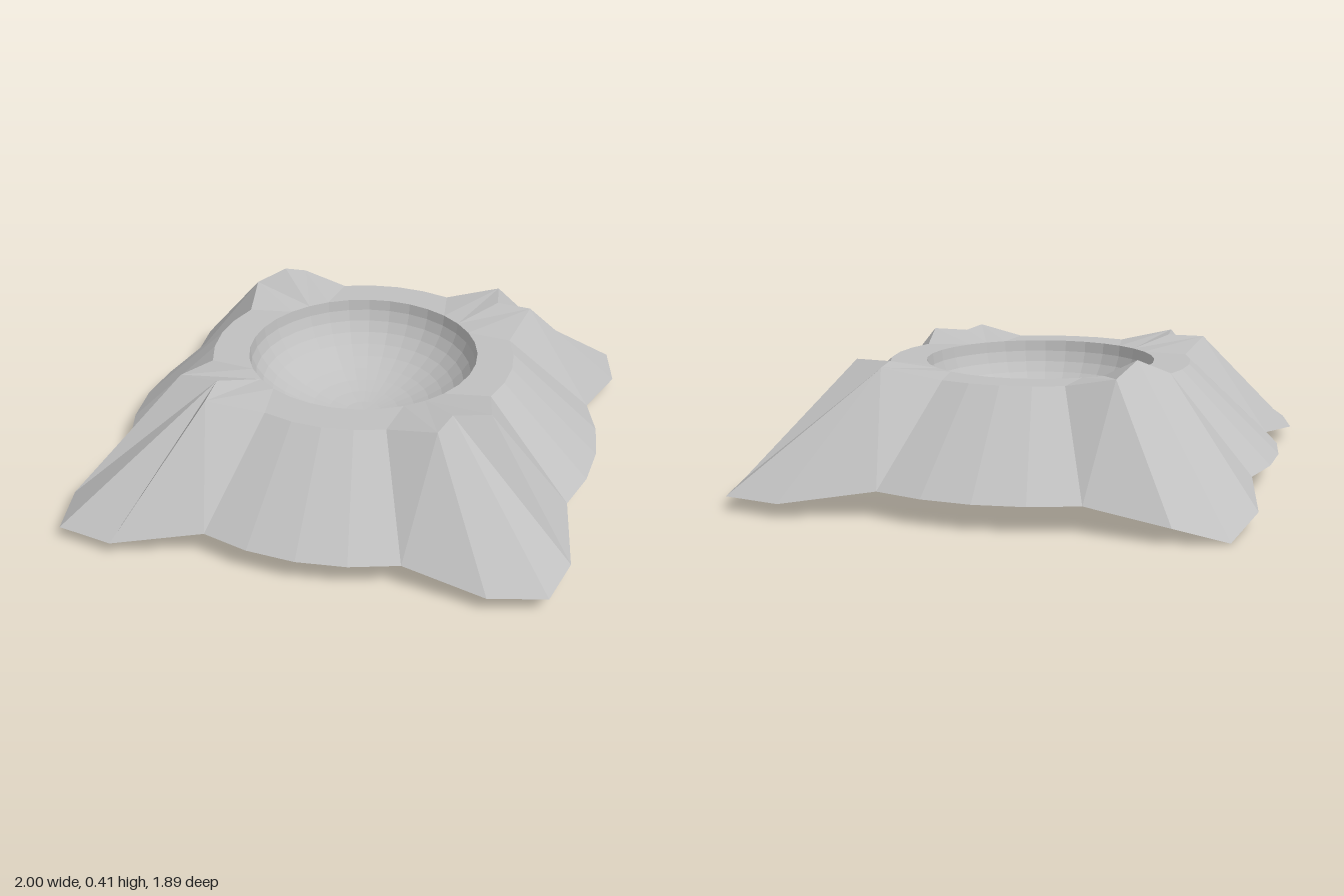
import * as THREE from 'three';

const N = 32, CZ = -0.02;

// point at a clockwise angle from the back, seen from above
const polar = (k, r, y) => {
  const a = (k / N) * Math.PI * 2;
  return new THREE.Vector3(r * Math.sin(a), y, CZ - r * Math.cos(a));
};
const ring = (r, y) => Array.from({ length: N }, (_, k) => polar(k, r, y));

// replaces the three points around one compass direction with a spur
function addSpur(loop, quarter, [midR, midY, sideR, sideW, sideY]) {
  const axis = new THREE.Vector3(0, 1, 0), angle = -quarter * Math.PI / 2;
  const put = (k, w, r, y) => {
    const p = new THREE.Vector3(w, y, -r).applyAxisAngle(axis, angle);
    p.z += CZ;
    loop[(quarter * 8 + k + N) % N] = p;
  };
  put(-1, -sideW, sideR, sideY);
  put(0, 0, midR, midY);
  put(1, sideW, sideR, sideY);
}

// flat-faced bands between successive loops, given from inside to outside
function bands(loops, material, name) {
  const pts = [];
  for (let i = 0; i + 1 < loops.length; i++) {
    const a = loops[i], b = loops[i + 1];
    for (let k = 0; k < N; k++) {
      const n = (k + 1) % N;
      // diagonals mirror about each spur
      if (k % 8 < 4) pts.push(a[k], b[n], b[k], a[k], a[n], b[n]);
      else pts.push(a[k], a[n], b[k], a[n], b[n], b[k]);
    }
  }
  const geometry = new THREE.BufferGeometry().setFromPoints(pts);
  geometry.computeVertexNormals();
  const mesh = new THREE.Mesh(geometry, material);
  mesh.name = name;
  return mesh;
}

export function createModel() {
  const group = new THREE.Group();
  group.name = 'craterMound';
  const stone = new THREE.MeshStandardMaterial({ color: 0xc0c0c0, flatShading: true });
  stone.name = 'grey stone';

  const crest = ring(0.46, 0.335);
  const foot = ring(0.733, 0.075);

  // spurs: back, right side of the plan, front, left side of the plan
  const crestSpurs = [
    [0.515, 0.405, 0.545, 0.09, 0.365],
    [0.505, 0.37, 0.57, 0.086, 0.37],
    [0.49, 0.36, 0.55, 0.09, 0.365],
    [0.49, 0.37, 0.565, 0.086, 0.37],
  ];
  const footSpurs = [
    [0.93, 0, 0.87, 0.14, 0.045],
    [1, 0.04, 0.905, 0.144, 0.04],
    [0.96, 0.045, 0.875, 0.14, 0.045],
    [1, 0.04, 0.905, 0.144, 0.04],
  ];
  for (let q = 0; q < 4; q++) {
    addSpur(crest, q, crestSpurs[q]);
    addSpur(foot, q, footSpurs[q]);
  }

  // squashed half-sphere bowl, from its bottom up to the rim
  const bowl = [], steps = 10;
  for (let i = 0; i <= steps; i++) {
    const t = (i / steps) * Math.PI / 2;
    bowl.push(ring(0.35 * Math.sin(t), 0.335 - 0.22 * Math.cos(t)));
  }

  group.add(bands([crest, foot], stone, 'slopes'));
  group.add(bands([bowl[steps], crest], stone, 'rim'));
  group.add(bands(bowl, stone, 'bowl'));
  group.add(bands([foot, ring(0, 0.075)], stone, 'underside'));
  return group;
}
